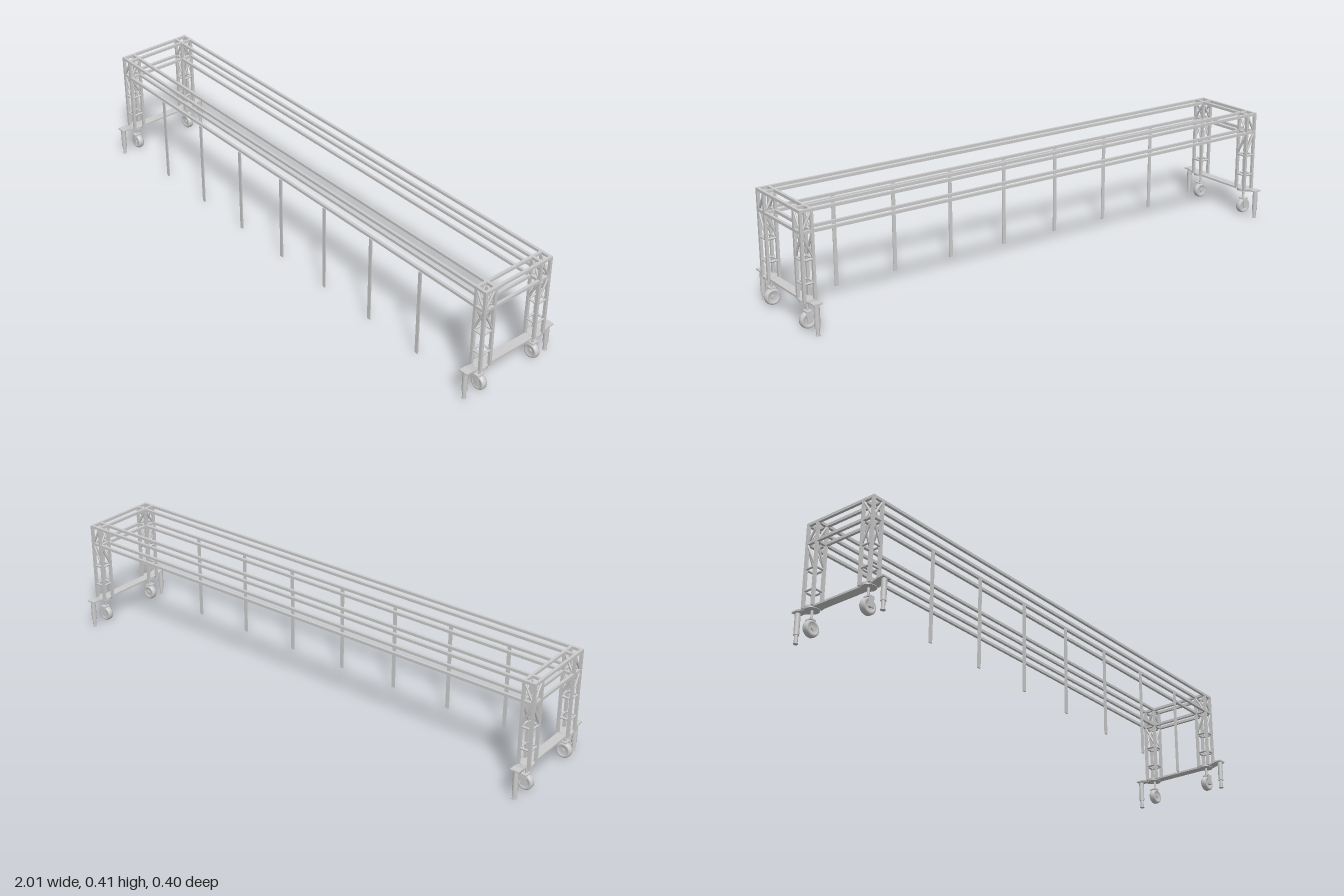
import * as THREE from 'three';

const mat = new THREE.MeshStandardMaterial({ color: 0xcccccc });
const V = (x, y, z) => new THREE.Vector3(x, y, z);

function add(parent, name, geometry, x = 0, y = 0, z = 0) {
  const mesh = new THREE.Mesh(geometry, mat);
  mesh.name = name;
  mesh.position.set(x, y, z);
  parent.add(mesh);
  return mesh;
}
const box = (parent, name, w, h, d, x, y, z) =>
  add(parent, name, new THREE.BoxGeometry(w, h, d), x, y, z);

// Round tube between two points
function tube(parent, name, a, b, r = 0.004) {
  const dir = b.clone().sub(a);
  const mesh = add(parent, name, new THREE.CylinderGeometry(r, r, dir.length(), 12));
  mesh.position.copy(a).add(b).multiplyScalar(0.5);
  mesh.quaternion.setFromUnitVectors(V(0, 1, 0), dir.normalize());
}

const TOP = 0.41, MID = 0.339, BASE = 0.103;
const XO = 0.995, XI = 0.956;   // outer and inner post positions along the span
const ZO = 0.146, ZI = 0.103;   // outer and inner post positions across it
const XC = (XO + XI) / 2, ZC = 0.125;

// Lattice tower with four posts; s is the side across the span
function tower(s) {
  const g = new THREE.Group();
  g.name = 'tower';
  for (const x of [XO, XI])
    for (const z of [ZO, ZI])
      box(g, 'post', 0.01, TOP - BASE, 0.01, x, (TOP + BASE) / 2, s * z);

  // Rungs and beams on all four faces
  for (const y of [0.165, 0.245, MID, TOP]) {
    const r = y < 0.3 ? 0.004 : 0.005;
    for (const x of [XO, XI]) tube(g, 'rung', V(x, y, s * ZI), V(x, y, s * ZO), r);
    for (const z of [ZO, ZI]) tube(g, 'rung', V(XI, y, s * z), V(XO, y, s * z), r);
  }
  // Diagonals meeting at the outer posts
  for (const y of [TOP - 0.003, 0.25]) {
    for (const x of [XO, XI]) tube(g, 'diagonal', V(x, MID - 0.002, s * ZO), V(x, y, s * ZI));
    for (const z of [ZO, ZI]) tube(g, 'diagonal', V(XO, MID - 0.002, s * z), V(XI, y, s * z));
  }
  add(g, 'towerBase', new THREE.CylinderGeometry(0.026, 0.026, 0.01, 32), XC, BASE, s * ZC);
  return g;
}

// Swivel wheel with a one-sided fork
function caster(s) {
  const g = new THREE.Group();
  g.name = 'caster';
  tube(g, 'casterStem', V(XC, 0.06, s * 0.124), V(XC, BASE, s * 0.124), 0.0045);
  box(g, 'forkTop', 0.022, 0.005, 0.027, XC, 0.064, s * 0.1275);
  box(g, 'forkArm', 0.02, 0.04, 0.004, XC, 0.046, s * 0.139);
  const profile = [[0.007, -0.008], [0.017, -0.008], [0.019, -0.0115], [0.025, -0.0115], [0.028, -0.008],
    [0.029, 0], [0.028, 0.008], [0.025, 0.0115], [0.019, 0.0115], [0.017, 0.008], [0.007, 0.008]]
    .map(([r, h]) => new THREE.Vector2(r, h));
  const wheel = add(g, 'wheel', new THREE.LatheGeometry(profile, 32), XC, 0.033, s * 0.124);
  wheel.rotation.x = Math.PI / 2;
  tube(g, 'axle', V(XC, 0.033, s * 0.112), V(XC, 0.033, s * 0.141), 0.0075);
  return g;
}

// Telescopic support foot
function foot(s) {
  const g = new THREE.Group();
  g.name = 'supportFoot';
  const z = s * 0.19;
  add(g, 'footSleeve', new THREE.CylinderGeometry(0.0095, 0.0095, 0.078, 20), XC, 0.07, z);
  add(g, 'footTube', new THREE.CylinderGeometry(0.0065, 0.0065, 0.04, 20), XC, 0.02, z);
  add(g, 'footPad', new THREE.CylinderGeometry(0.0085, 0.0085, 0.003, 20), XC, 0.0015, z);
  return g;
}

function endFrame() {
  const g = new THREE.Group();
  g.name = 'endFrame';
  for (const s of [1, -1]) g.add(tower(s), caster(s), foot(s));

  // Cross beams joining the two towers
  for (const x of [XO, XI])
    for (const y of [TOP, MID])
      box(g, 'crossBeam', 0.01, 0.01, 2 * ZO + 0.01, x, y, 0);

  // Base plate, cranked upwards at both ends to carry the feet
  const half = [[0.15, 0.107], [0.176, 0.113], [0.202, 0.113], [0.202, 0.108], [0.178, 0.108], [0.15, 0.1]];
  const outline = [...half, ...half.slice().reverse().map(([z, y]) => [-z, y])];
  const shape = new THREE.Shape(outline.map(([z, y]) => new THREE.Vector2(z, y)));
  const plate = new THREE.ExtrudeGeometry(shape, { depth: 0.034, bevelEnabled: false });
  plate.translate(0, 0, -0.017);
  add(g, 'basePlate', plate, XC, 0, 0).rotation.y = Math.PI / 2;
  return g;
}

export function createModel() {
  const model = new THREE.Group();
  model.name = 'gantry';

  // Matching end frames
  const left = endFrame(), right = endFrame();
  right.rotation.y = Math.PI;
  model.add(left, right);

  // Long rails, two levels
  for (const z of [-ZO, -ZI, ZI, ZO]) {
    box(model, 'topRail', 2, 0.01, 0.01, 0, TOP, z);
    box(model, 'lowerRail', 2 * XO, 0.01, 0.01, 0, MID, z);
  }

  // Flat uprights along the front
  for (let i = -3; i <= 3; i++)
    box(model, 'upright', 0.014, 0.335, 0.004, i * 0.239 - 0.003, 0.1675, 0.153);

  return model;
}
